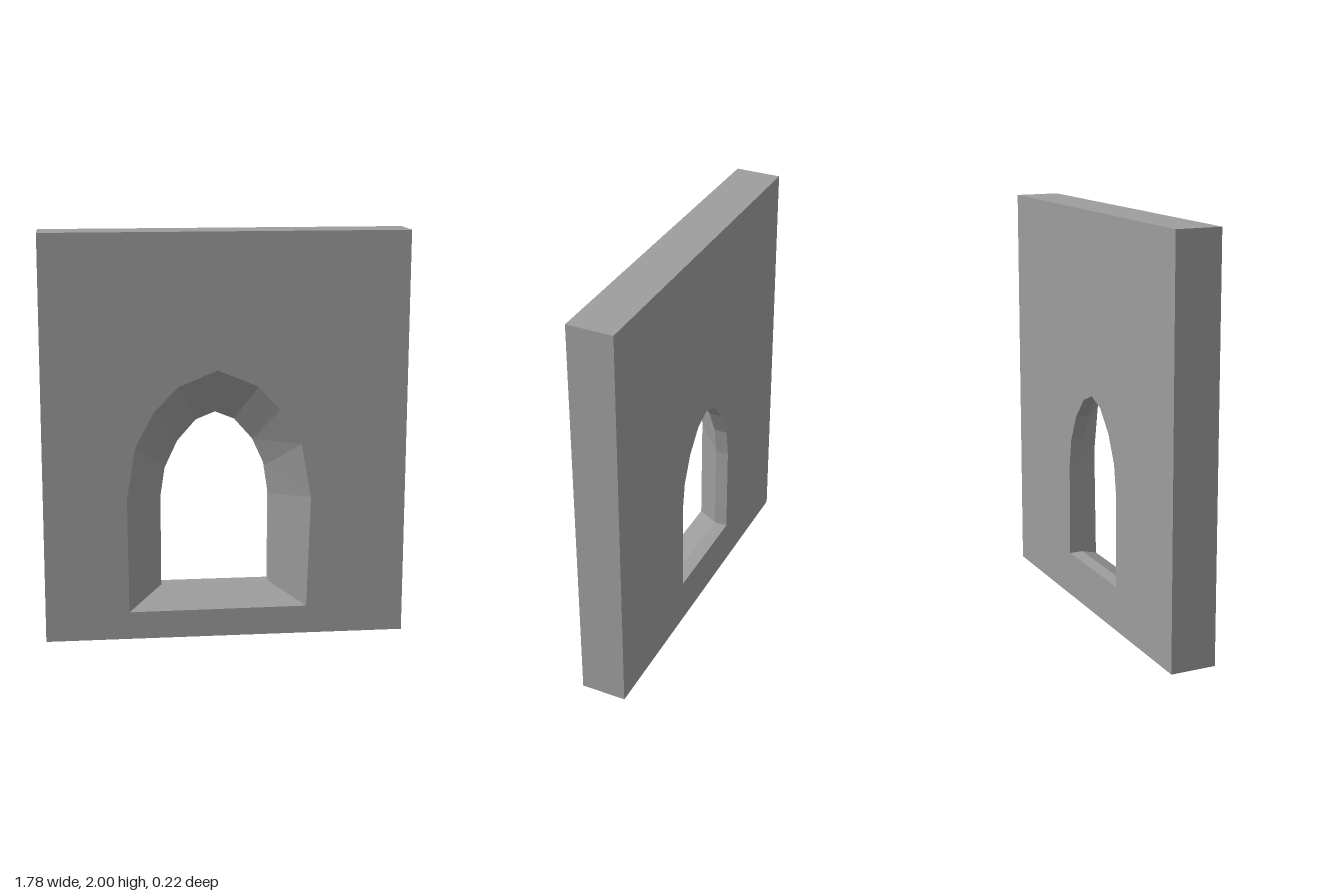
import * as THREE from 'three';

const material = new THREE.MeshStandardMaterial({ color: 0x9d9d9d, flatShading: true });
const FRONT = 0.112, BACK = -0.112, KINK = -0.045;

// Wall outline, counter-clockwise from the front
const outline = [[-0.888, 0], [0.888, 0], [0.888, 2], [-0.883, 2]];

// Narrow arch opening (clockwise from the front)
const narrowArch = [
  [-0.31, 0.225], [-0.31, 0.685], [-0.288, 0.83], [-0.225, 0.965], [-0.133, 1.07], [-0.038, 1.108],
  [0.057, 1.07], [0.149, 0.965], [0.211, 0.83], [0.233, 0.685], [0.233, 0.225],
];

// Wide, slightly irregular arch on the front face, matching point for point
const wideArch = [
  [-0.477, 0.138], [-0.482, 0.71], [-0.438, 0.97], [-0.348, 1.14], [-0.229, 1.262], [-0.038, 1.34],
  [0.158, 1.257], [0.264, 1.14], [0.371, 0.97], [0.42, 0.7], [0.403, 0.141],
];

const toVectors = (points) => points.map(([x, y]) => new THREE.Vector2(x, y));

// Flat wall face with an arched hole; the back one has its winding reversed
function face(hole, z, reversed) {
  const shape = new THREE.Shape(toVectors(outline));
  shape.holes.push(new THREE.Path(toVectors(hole)));
  const geometry = new THREE.ShapeGeometry(shape);
  if (reversed) {
    geometry.setIndex(Array.from(geometry.index.array).reverse());
    geometry.computeVertexNormals();
  }
  return geometry.translate(0, 0, z);
}

// Band of quads joining a rear loop to a front loop
function band(rear, rearZ, front, frontZ) {
  const positions = [];
  rear.forEach((_, i) => {
    const j = (i + 1) % rear.length;
    const a = [...rear[i], rearZ], b = [...rear[j], rearZ];
    const c = [...front[j], frontZ], d = [...front[i], frontZ];
    positions.push(...a, ...b, ...c, ...a, ...c, ...d);
  });
  const geometry = new THREE.BufferGeometry();
  geometry.setAttribute('position', new THREE.Float32BufferAttribute(positions, 3));
  geometry.computeVertexNormals();
  return geometry;
}

export function createModel() {
  const group = new THREE.Group();
  group.name = 'archedWindowWall';
  const add = (name, geometry) => {
    const mesh = new THREE.Mesh(geometry, material);
    mesh.name = name;
    group.add(mesh);
  };

  // Wall slab
  add('wallFront', face(wideArch, FRONT, false));
  add('wallBack', face(narrowArch, BACK, true));
  add('wallEdges', band(outline, BACK, outline, FRONT));

  // Window recess: straight at the back, splayed towards the front
  add('straightReveal', band(narrowArch, BACK, narrowArch, KINK));
  add('splayedReveal', band(narrowArch, KINK, wideArch, FRONT));
  return group;
}
